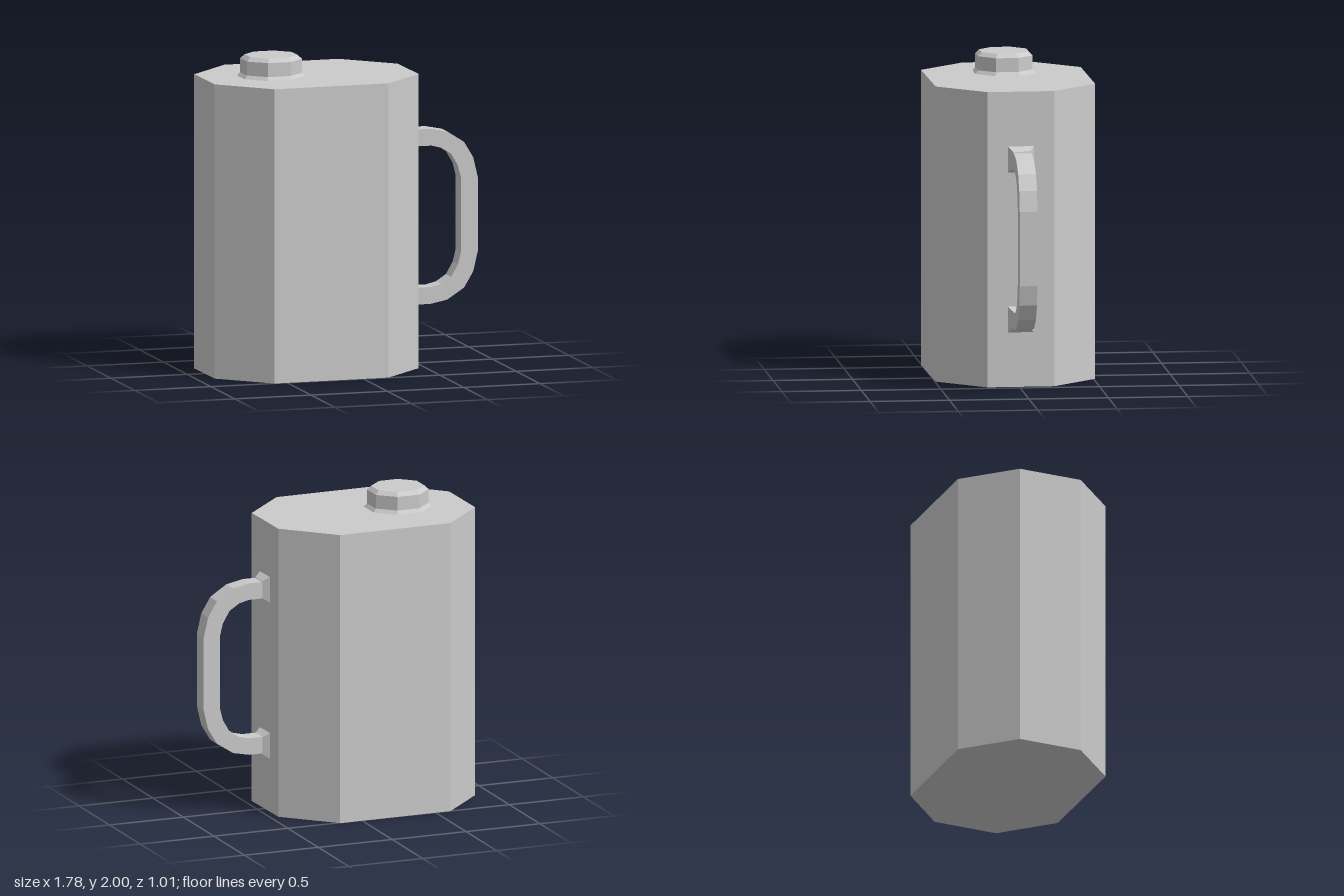
import * as THREE from 'three';

const material = new THREE.MeshStandardMaterial({ color: 0xcccccc, flatShading: true });

function part(name, geometry, x = 0, y = 0, z = 0) {
  const mesh = new THREE.Mesh(geometry, material);
  mesh.name = name;
  mesh.position.set(x, y, z);
  return mesh;
}

function extrude(points, depth) {
  const shape = new THREE.Shape(points.map(([x, y]) => new THREE.Vector2(x, y)));
  return new THREE.ExtrudeGeometry(shape, { depth, bevelEnabled: false });
}

export function createModel() {
  const group = new THREE.Group();
  group.name = 'jug';

  // Body: slightly skewed eight-sided footprint (x, z) raised to full height
  const footprint = [
    [-0.885, 0.21], [-0.585, 0.505], [0.165, 0.495], [0.455, 0.2],
    [0.448, -0.22], [0.15, -0.51], [-0.6, -0.503], [-0.89, -0.205],
  ];
  const body = extrude(footprint.map(([x, z]) => [x, -z]), 1.865);
  body.rotateX(-Math.PI / 2);
  group.add(part('body', body));

  // Cap: flared collar, straight wall and chamfered top, eight sides
  const profile = [[0, 0], [0.214, 0], [0.195, 0.022], [0.195, 0.11], [0.168, 0.135], [0, 0.135]];
  const cap = new THREE.LatheGeometry(
    profile.map(([r, y]) => new THREE.Vector2(r, y)), 8, Math.PI / 8);
  cap.scale(1, 1, 0.95);
  cap.rotateY(0.015);
  group.add(part('cap', cap, -0.45, 1.865, -0.002));

  // Handle: upper half of the outline (x, height above the middle), mirrored downwards
  const middle = 0.932;
  const outer = [[0.49, 0.555], [0.58, 0.555], [0.69, 0.533], [0.8, 0.462], [0.86, 0.362], [0.89, 0.235]];
  const inner = [[0.49, 0.448], [0.585, 0.448], [0.65, 0.432], [0.715, 0.39], [0.76, 0.313], [0.78, 0.232]];
  const flip = (points) => points.map(([x, y]) => [x, -y]);
  const outline = [
    ...outer, ...flip(outer).reverse(),
    ...flip(inner), ...[...inner].reverse(),
  ];
  group.add(part('handle', extrude(outline, 0.112), 0, middle, -0.066));

  // Handle mounts: square flares where the handle meets the body
  for (const [name, side] of [['upperMount', 1], ['lowerMount', -1]]) {
    const mount = new THREE.CylinderGeometry(0.054 * Math.SQRT2, 0.083 * Math.SQRT2, 0.045, 4);
    mount.rotateY(Math.PI / 4);
    mount.rotateZ(-Math.PI / 2);
    group.add(part(name, mount, 0.473, middle + side * 0.505, -0.009));
  }

  return group;
}
